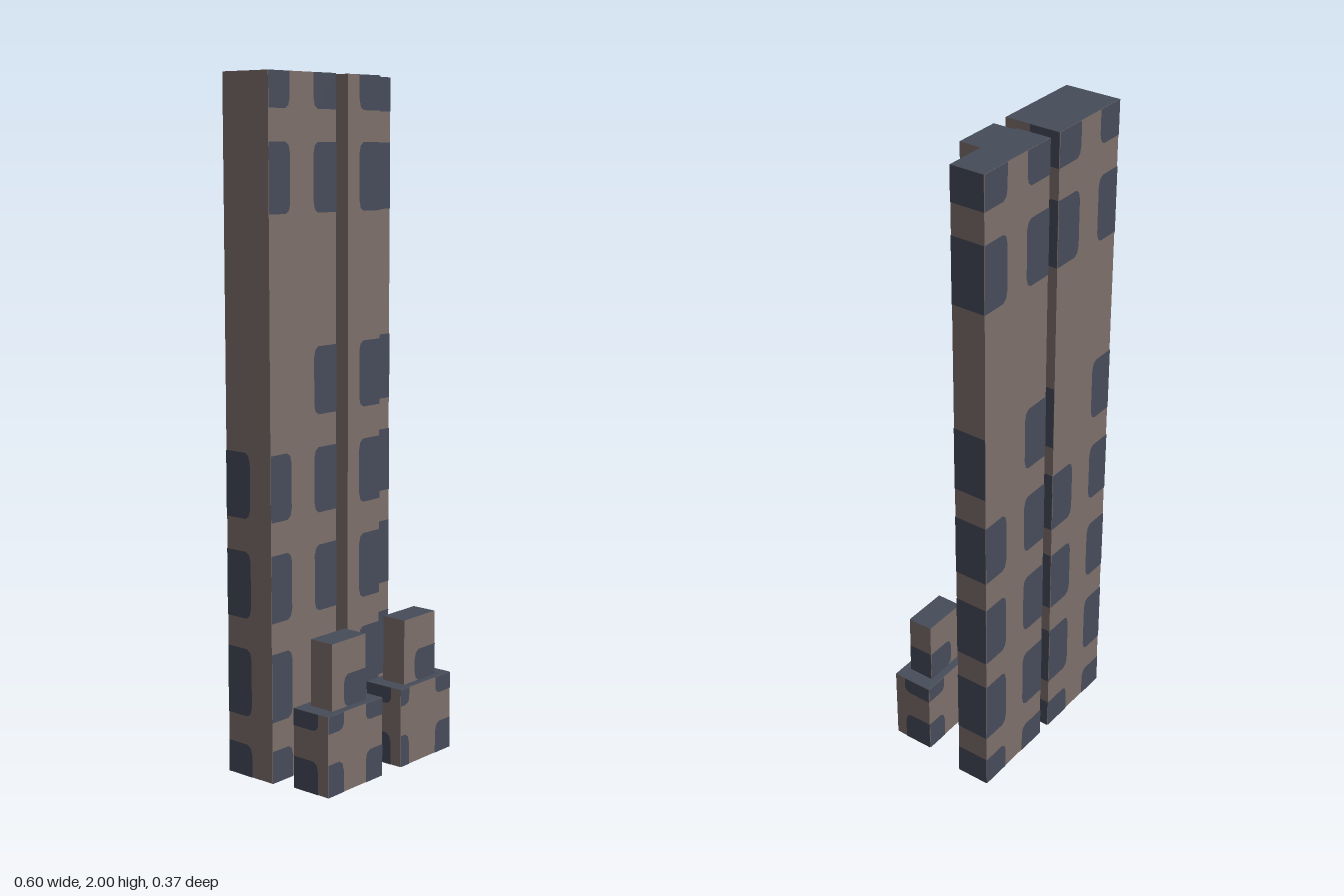
import * as THREE from 'three';

const wall = new THREE.MeshStandardMaterial({ color: 0x7e706c });
wall.name = 'stone wall';
const dark = new THREE.MeshStandardMaterial({ color: 0x464c5a });
dark.name = 'dark glass and roof';

// Window storeys as [bottom, top]; one storey is left blank
const ROWS = [[0, 0.095], [0.18, 0.38], [0.47, 0.665], [0.76, 0.95], [1.045, 1.24], [1.615, 1.81], [1.9, 2]];
const without = (...skip) => ROWS.filter((row, i) => !skip.includes(i));
const ALL = without();
const NO_MID = without(4);
const PODIUM_ROWS = [[0, 0.095], [0.185, 0.235]];

// Wall block with dark roof and underside
function block(group, name, x0, x1, y0, y1, z0, z1) {
  const geo = new THREE.BoxGeometry(x1 - x0, y1 - y0, z1 - z0);
  const mesh = new THREE.Mesh(geo, [wall, wall, dark, dark, wall, wall]);
  mesh.position.set((x0 + x1) / 2, (y0 + y1) / 2, (z0 + z1) / 2);
  mesh.name = name;
  group.add(mesh);
}

// Flat pane outline; cut corners only on the sides away from a wall edge
function paneShape(a, b, y0, y1, cutA, cutB, cutLow, cutHigh) {
  const c = 0.018, h = Math.min(0.03, (y1 - y0) / 3);
  const pts = [];
  const corner = (x, y, sx, sy, cut, verticalFirst) => {
    if (!cut) { pts.push([x, y]); return; }
    const p = [[x, y + sy * h], [x + sx * c * 0.3, y + sy * h * 0.3], [x + sx * c, y]];
    pts.push(...(verticalFirst ? p : p.reverse()));
  };
  corner(a, y0, 1, 1, cutA && cutLow, true);
  corner(b, y0, -1, 1, cutB && cutLow, false);
  corner(b, y1, -1, -1, cutB && cutHigh, true);
  corner(a, y1, 1, -1, cutA && cutHigh, false);
  return new THREE.Shape(pts.map(([x, y]) => new THREE.Vector2(x, y)));
}

const TURN = { front: 0, back: Math.PI, right: Math.PI / 2, left: -Math.PI / 2 };

// Column of panes on one face: u runs along x (front, back) or z (sides)
function windows(group, face, plane, u0, u1, rows, cut = '') {
  const flip = face === 'back' || face === 'right';
  const out = plane + (face === 'front' || face === 'right' ? 0.0015 : -0.0015);
  const low = cut.includes('low'), high = cut.includes('high');
  for (const [y0, y1] of rows) {
    const shape = flip
      ? paneShape(-u1, -u0, y0, y1, high, low, y0 > 0, y1 < 2 && y1 !== 0.235)
      : paneShape(u0, u1, y0, y1, low, high, y0 > 0, y1 < 2 && y1 !== 0.235);
    const mesh = new THREE.Mesh(new THREE.ShapeGeometry(shape), dark);
    mesh.rotation.y = TURN[face];
    if (face === 'front' || face === 'back') mesh.position.z = out;
    else mesh.position.x = out;
    mesh.name = face + 'Window';
    group.add(mesh);
  }
}

function rightHandTower() {
  const g = new THREE.Group();
  g.name = 'steppedTower';
  block(g, 'towerBody', 0.021, 0.3, 0, 2, -0.182, -0.078);
  block(g, 'towerWing', 0.03, 0.174, 0, 2, -0.078, -0.012);
  windows(g, 'front', -0.012, 0.08, 0.174, ALL, 'low');
  windows(g, 'front', -0.078, 0.205, 0.3, ALL, 'low');
  windows(g, 'right', 0.3, -0.182, -0.078, ALL);
  windows(g, 'back', -0.182, 0.021, 0.12, ALL, 'high');
  windows(g, 'back', -0.182, 0.205, 0.3, NO_MID, 'low');
  windows(g, 'left', 0.021, -0.182, -0.09, ALL, 'high');
  return g;
}

function plainTower() {
  const g = new THREE.Group();
  g.name = 'plainTower';
  block(g, 'towerBody', -0.3, -0.022, 0, 2, -0.182, -0.012);
  windows(g, 'front', -0.012, -0.3, -0.215, NO_MID, 'high');
  windows(g, 'front', -0.012, -0.118, -0.022, ALL, 'low');
  windows(g, 'back', -0.182, -0.12, -0.022, NO_MID, 'low');
  windows(g, 'back', -0.182, -0.3, -0.21, ALL, 'high');
  windows(g, 'left', -0.3, -0.182, -0.09, without(4, 5, 6), 'high');
  windows(g, 'right', -0.022, -0.182, -0.09, ALL, 'high');
  return g;
}

// Two-step annex in front of a tower; gap columns differ per side
function annex(name, x0, leftEnd, rightStart) {
  const g = new THREE.Group();
  g.name = name;
  const x1 = x0 + 0.236, ux0 = x0 + 0.045, ux1 = x0 + 0.19;
  block(g, 'annexBase', x0, x1, 0, 0.235, 0.053, 0.181);
  block(g, 'annexUpper', ux0, ux1, 0.235, 0.43, 0.078, 0.157);
  for (const [face, z] of [['front', 0.181], ['back', 0.053]]) {
    windows(g, face, z, x0, leftEnd, PODIUM_ROWS, 'high');
    windows(g, face, z, rightStart, x1, PODIUM_ROWS, 'low');
  }
  for (const [face, x] of [['right', x1], ['left', x0]]) {
    windows(g, face, x, 0.053, 0.145, PODIUM_ROWS, 'high');
  }
  const upper = [[0.235, 0.33]];
  windows(g, 'front', 0.157, ux0 + 0.048, ux1, upper, 'low');
  windows(g, 'back', 0.078, ux0 + 0.048, ux1, upper, 'low');
  windows(g, 'right', ux1, 0.078, 0.157, upper);
  return g;
}

export function createModel() {
  const model = new THREE.Group();
  model.name = 'twinTowers';
  model.add(plainTower(), rightHandTower());
  model.add(annex('annexOne', -0.28, -0.215, -0.118));
  model.add(annex('annexTwo', 0.042, 0.08, 0.205));
  return model;
}
